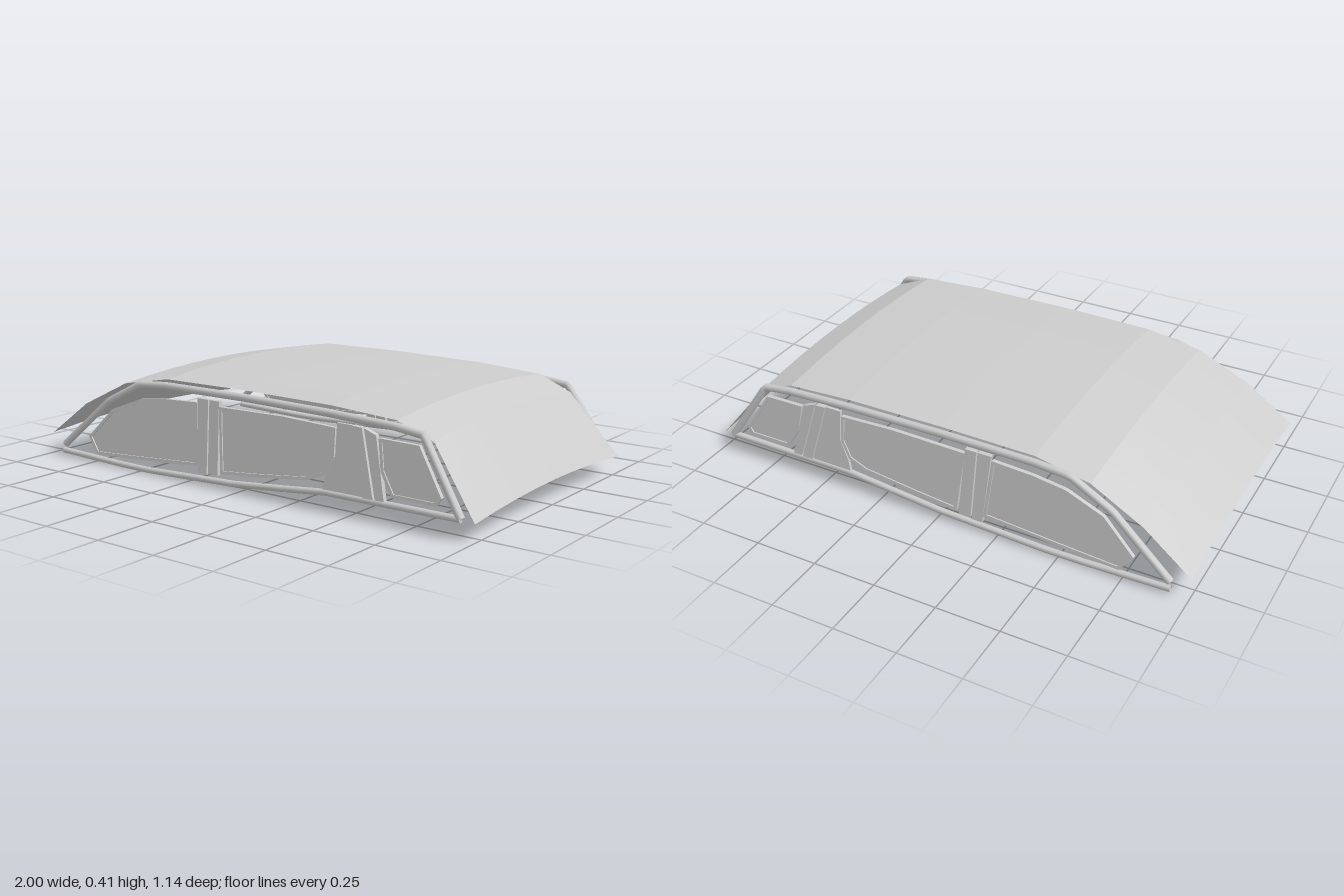
import * as THREE from 'three';

const grey = new THREE.MeshStandardMaterial({ color: 0xcccccc, side: THREE.DoubleSide });
grey.name = 'light grey';

// The sides lean inwards with height
const lean = (y) => 0.555 - 0.11 * (y - 0.02);

function add(group, name, geometry) {
  const mesh = new THREE.Mesh(geometry, grey);
  mesh.name = name;
  group.add(mesh);
}

// Flat plate in the leaning side plane, optionally with an opening
function plate(outline, thickness, hole) {
  const vec = (pts) => pts.map(([x, y]) => new THREE.Vector2(x, y));
  const shape = new THREE.Shape(vec(outline));
  if (hole) shape.holes.push(new THREE.Path(vec(hole)));
  const g = new THREE.ExtrudeGeometry(shape, { depth: thickness, bevelEnabled: false });
  const p = g.attributes.position;
  for (let i = 0; i < p.count; i++) {
    p.setZ(i, p.getZ(i) - thickness / 2 + lean(p.getY(i)));
  }
  g.computeVertexNormals();
  return g;
}

// Shrinks an outline by moving each edge inwards (outlines run clockwise)
function inset(pts, d) {
  const n = pts.length;
  return pts.map(([x, y], i) => {
    const a = pts[(i + n - 1) % n], b = pts[(i + 1) % n];
    const u = new THREE.Vector2(x - a[0], y - a[1]).normalize();
    const v = new THREE.Vector2(b[0] - x, b[1] - y).normalize();
    const k = d / (1 + u.dot(v));
    return [x + (u.y + v.y) * k, y - (u.x + v.x) * k];
  });
}

// Round rail through straight runs
function rail(pts, radius) {
  const path = new THREE.CurvePath();
  const v = pts.map(([x, y]) => new THREE.Vector3(x, y, lean(y)));
  for (let i = 1; i < v.length; i++) path.add(new THREE.LineCurve3(v[i - 1], v[i]));
  return new THREE.TubeGeometry(path, 90, radius, 8, false);
}

// Arched shell: windscreen, roof and rear screen
function shell() {
  // x, edge height, half width
  const sections = [
    [-1, 0.085, 0.55], [-0.81, 0.228, 0.537], [-0.6, 0.333, 0.522], [-0.38, 0.374, 0.515],
    [0, 0.379, 0.515], [0.4, 0.374, 0.513], [0.67, 0.358, 0.51], [0.81, 0.303, 0.498], [1, 0.065, 0.545],
  ];
  const across = 8, pos = [], index = [];
  sections.forEach(([x, y, w], i) => {
    for (let j = 0; j <= across; j++) {
      const t = (j / across) * 2 - 1;
      pos.push(x, y + 0.027 * (1 - t * t), t * w);
      if (i && j) {
        const d = i * (across + 1) + j, c = d - 1, b = d - across - 1, a = b - 1;
        index.push(a, b, d, a, d, c);
      }
    }
  });
  let g = new THREE.BufferGeometry();
  g.setAttribute('position', new THREE.Float32BufferAttribute(pos, 3));
  g.setIndex(index);
  g = g.toNonIndexed();
  g.computeVertexNormals();
  return g;
}

function buildSide() {
  const side = new THREE.Group();

  // Rails
  add(side, 'sillRail', rail([[-0.93, 0.021], [-0.6, 0.013], [-0.45, 0.013], [-0.02, 0.03],
    [0.2, 0.05], [0.4, 0.07], [0.95, 0.073]], 0.0125));
  add(side, 'roofRail', rail([[-0.925, 0.048], [-0.69, 0.25], [-0.52, 0.338], [-0.38, 0.349], [0, 0.352],
    [0.4, 0.347], [0.67, 0.338], [0.785, 0.325], [0.95, 0.073]], 0.015));

  // Windows: pane with a raised frame
  const windows = {
    front: [[-0.785, 0.1], [-0.66, 0.225], [-0.51, 0.283], [-0.38, 0.3], [-0.215, 0.308],
      [-0.192, 0.07], [-0.5, 0.048], [-0.735, 0.033]],
    rear: [[-0.105, 0.305], [0.2, 0.31], [0.43, 0.302], [0.432, 0.2], [0.395, 0.13],
      [0.32, 0.1], [0.1, 0.075], [-0.08, 0.058]],
    quarter: [[0.612, 0.292], [0.775, 0.29], [0.875, 0.13], [0.855, 0.1], [0.68, 0.1], [0.63, 0.18]],
  };
  for (const [name, outline] of Object.entries(windows)) {
    const inner = inset(outline, 0.012);
    add(side, name + 'WindowFrame', plate(outline, 0.016, inner));
    add(side, name + 'WindowPane', plate(inner, 0.006));
  }

  // Pillars
  add(side, 'middlePillarFront', plate([[-0.212, 0.325], [-0.158, 0.325], [-0.146, 0.045], [-0.19, 0.045]], 0.018));
  add(side, 'middlePillarRear', plate([[-0.152, 0.325], [-0.105, 0.325], [-0.092, 0.05], [-0.14, 0.05]], 0.018));
  add(side, 'rearPillarPanel', plate([[0.435, 0.32], [0.5, 0.32], [0.562, 0.08], [0.39, 0.08],
    [0.4, 0.125], [0.436, 0.2]], 0.012));
  add(side, 'rearPillarFront', plate([[0.502, 0.32], [0.543, 0.318], [0.608, 0.08], [0.565, 0.08]], 0.022));
  add(side, 'rearPillarRear', plate([[0.55, 0.318], [0.602, 0.3], [0.652, 0.08], [0.615, 0.08]], 0.018));
  return side;
}

export function createModel() {
  const model = new THREE.Group();
  model.name = 'carCabin';
  add(model, 'roofShell', shell());
  for (const s of [1, -1]) {
    const side = buildSide();
    side.name = s > 0 ? 'frontFacingSide' : 'backFacingSide';
    side.scale.z = s;
    model.add(side);
  }
  return model;
}
